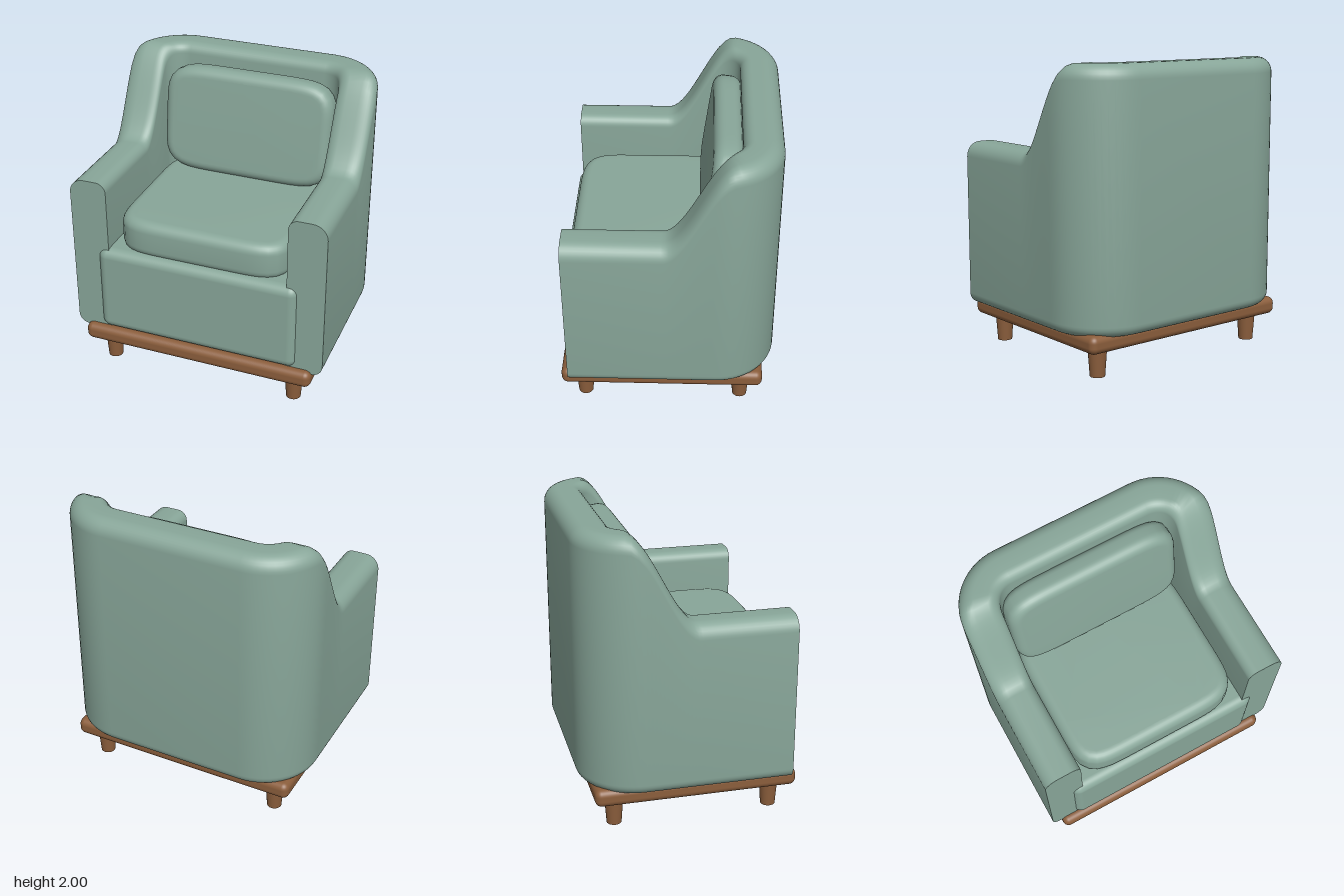
import * as THREE from 'three';
import { toCreasedNormals } from 'three/addons/utils/BufferGeometryUtils.js';
import { RoundedBoxGeometry } from 'three/addons/geometries/RoundedBoxGeometry.js';

const fabric = new THREE.MeshStandardMaterial({ color: 0x88a699 });
fabric.name = 'sage fabric';
const wood = new THREE.MeshStandardMaterial({ color: 0x8b5e3c });
wood.name = 'brown wood';

function add(parent, name, geometry, material, x, y, z) {
  const mesh = new THREE.Mesh(geometry, material);
  mesh.name = name;
  mesh.position.set(x, y, z);
  parent.add(mesh);
  return mesh;
}

// Top edge of the wraparound shell: low arms sweeping up to a tall back
function topHeight(z) {
  const t = THREE.MathUtils.clamp((0.03 - z) / 0.46, 0, 1);
  return 1.42 + 0.58 * t * t * (3 - 2 * t);
}

// Rounded arm section, counter-clockwise: u points outward, v is measured
// from the bottom, or from the top edge when `top` is set
function armSection() {
  const half = 0.13, points = [];
  const corners = [
    { r: 0.075, su: 1, top: false, start: -90 },
    { r: 0.1, su: 1, top: true, start: 0 },
    { r: 0.07, su: -1, top: true, start: 90 },
    { r: 0.04, su: -1, top: false, start: 180 },
  ];
  for (const { r, su, top, start } of corners) {
    for (let i = 0; i <= 8; i++) {
      const a = THREE.MathUtils.degToRad(start + (i * 90) / 8);
      points.push({
        u: su * (half - r) + r * Math.cos(a),
        v: (top ? -r : r) + r * Math.sin(a),
        top,
      });
    }
  }
  return points;
}

// Path along one arm and round the rear corner, then mirrored
function shellPath() {
  const side = [{ x: 0.76, z: 0.67, nx: 1, nz: 0 }];
  for (let i = 0; i < 14; i++) side.push({ x: 0.76, z: 0.04 - (0.36 * i) / 14, nx: 1, nz: 0 });
  for (let i = 0; i <= 14; i++) {
    const a = (Math.PI / 2) * (i / 14), c = Math.cos(a), s = Math.sin(a);
    side.push({ x: 0.49 + 0.27 * c, z: -0.32 - 0.27 * s, nx: c, nz: -s });
  }
  const other = side.map((p) => ({ ...p, x: -p.x, nx: -p.nx })).reverse();
  return [...side, ...other];
}

function shellGeometry() {
  const section = armSection(), path = shellPath();
  const n = section.length, positions = [], index = [];
  for (const p of path) {
    for (const { u, v, top } of section) {
      const z = p.z + p.nz * u;
      positions.push(p.x + p.nx * u, (top ? topHeight(z) : 0.28) + v, z);
    }
  }
  for (let i = 0; i < path.length - 1; i++) {
    for (let j = 0; j < n; j++) {
      const k = (j + 1) % n;
      const a = i * n + j, b = i * n + k, c = a + n, d = b + n;
      index.push(a, c, b, b, c, d);
    }
  }
  // flat arm fronts
  const last = (path.length - 1) * n;
  for (let j = 1; j < n - 1; j++) {
    index.push(0, j, j + 1, last, last + j + 1, last + j);
  }
  const geometry = new THREE.BufferGeometry();
  geometry.setAttribute('position', new THREE.Float32BufferAttribute(positions, 3));
  geometry.setIndex(index);
  return toCreasedNormals(geometry, 0.7);
}

// Soft cushion: slightly bulging outline with a rounded rim, thickness along z
function cushionGeometry(width, height, thickness, rim, power) {
  const a = width / 2 - rim, b = height / 2 - rim, outline = [];
  for (let i = 0; i < 112; i++) {
    const t = (i / 112) * Math.PI * 2, c = Math.cos(t), s = Math.sin(t);
    const r = (Math.abs(c / a) ** power + Math.abs(s / b) ** power) ** (-1 / power);
    outline.push(new THREE.Vector2(r * c, r * s));
  }
  const geometry = new THREE.ExtrudeGeometry(new THREE.Shape(outline), {
    depth: thickness - 2 * rim,
    bevelEnabled: true,
    bevelSize: rim,
    bevelThickness: rim,
    bevelSegments: 8,
  });
  geometry.translate(0, 0, rim - thickness / 2);
  return toCreasedNormals(geometry, 0.6);
}

export function createModel() {
  const chair = new THREE.Group();
  chair.name = 'armchair';

  // Wooden plinth and tapered legs
  add(chair, 'basePlate', new RoundedBoxGeometry(1.64, 0.12, 1.37, 5, 0.045), wood, 0, 0.247, 0.04);
  const leg = new THREE.CylinderGeometry(0.064, 0.05, 0.2, 28);
  for (const x of [-0.67, 0.67]) {
    for (const z of [-0.5, 0.575]) add(chair, 'leg', leg, wood, x, 0.1, z);
  }

  // Upholstered body
  add(chair, 'armsAndBack', shellGeometry(), fabric, 0, 0, 0);
  add(chair, 'seatBase', new RoundedBoxGeometry(1.42, 0.63, 1.24, 6, 0.065), fabric, 0, 0.615, 0.08);

  // Loose cushions
  const seat = add(chair, 'seatCushion', cushionGeometry(1.21, 1.1, 0.26, 0.07, 8), fabric, 0, 1.03, 0.1);
  seat.rotation.x = -Math.PI / 2;
  const back = add(chair, 'backCushion', cushionGeometry(1.22, 0.76, 0.19, 0.07, 7), fabric, 0, 1.517, -0.335);
  back.rotation.x = -0.13;

  return chair;
}
